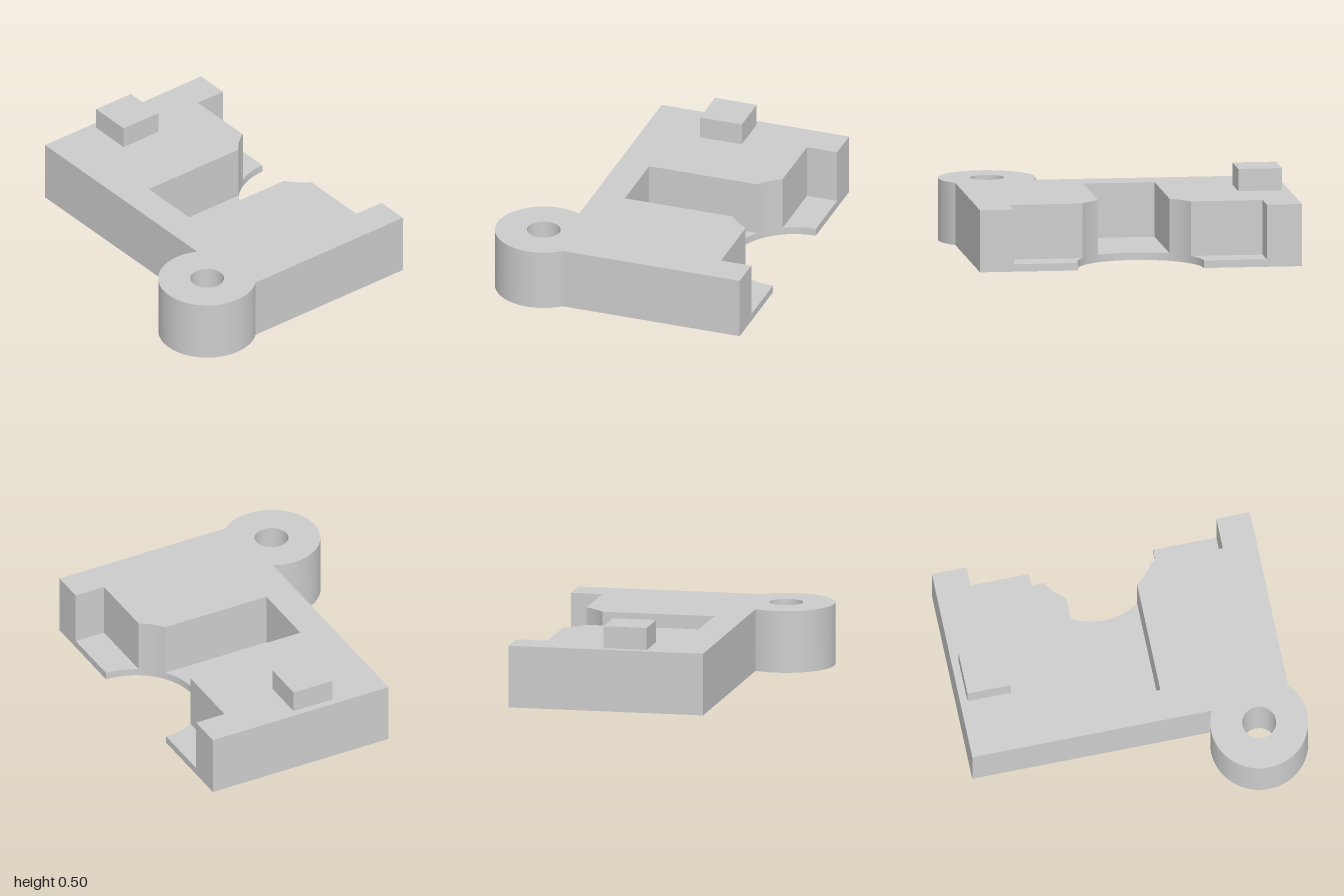
import * as THREE from 'three';
import { toCreasedNormals } from 'three/addons/utils/BufferGeometryUtils.js';

const HEIGHT = 0.372, FLOOR = 0.045;
const BOSS = { x: 0.71, z: 0.51, r: 0.29, hole: 0.1 };
const BORE = { x: -0.037, z: -0.8, r: 0.377 };
const RIGHT = 0.925, FRONT = 0.38, BACK = -0.8, POCKET = -0.61;

// Outer plan (x, z) shared by both layers, from back right round to back left
function outline() {
  const s = new THREE.Shape();
  const dx = RIGHT - BOSS.x, dz = FRONT - BOSS.z;
  const sideZ = BOSS.z - Math.sqrt(BOSS.r ** 2 - dx ** 2);
  const start = Math.atan2(sideZ - BOSS.z, dx);
  const end = Math.atan2(dz, -Math.sqrt(BOSS.r ** 2 - dz ** 2));
  s.moveTo(RIGHT, BACK);
  s.lineTo(RIGHT, sideZ);
  s.absarc(BOSS.x, BOSS.z, BOSS.r, start, end + Math.PI * 2, false);
  s.lineTo(-1, FRONT);
  s.lineTo(-1, BACK);
  const hole = new THREE.Path();
  hole.absarc(BOSS.x, BOSS.z, BOSS.hole, 0, Math.PI * 2, true);
  s.holes.push(hole);
  return s;
}

// Extrude a plan downward from the given top height
function layer(name, shape, top, depth, material) {
  let g = new THREE.ExtrudeGeometry(shape, { depth, bevelEnabled: false, curveSegments: 48 });
  g.rotateX(Math.PI / 2).translate(0, top, 0);
  g = toCreasedNormals(g, 0.5);
  const mesh = new THREE.Mesh(g, material);
  mesh.name = name;
  return mesh;
}

export function createModel() {
  const group = new THREE.Group();
  group.name = 'mountingBracket';
  const grey = new THREE.MeshStandardMaterial({ color: 0xcccccc });
  grey.name = 'plain grey';

  // Thin floor with a half-round notch in the back edge
  const floor = outline();
  floor.absarc(BORE.x, BORE.z, BORE.r, Math.PI, 0, true);
  group.add(layer('floorPlate', floor, FLOOR, FLOOR, grey));

  // Thick body with back pockets, notch and central slot cut out
  const body = outline();
  const slotL = -0.25, slotR = 0.178;
  const pocketAngle = Math.asin((POCKET - BORE.z) / BORE.r);
  body.lineTo(-0.79, BACK);
  body.lineTo(-0.79, POCKET);
  body.absarc(BORE.x, BORE.z, BORE.r, Math.PI - pocketAngle, Math.acos((slotL - BORE.x) / BORE.r), true);
  body.lineTo(slotL, 0.19);
  body.lineTo(slotR, 0.19);
  body.absarc(BORE.x, BORE.z, BORE.r, Math.acos((slotR - BORE.x) / BORE.r), pocketAngle, true);
  body.lineTo(0.722, POCKET);
  body.lineTo(0.722, BACK);
  group.add(layer('body', body, HEIGHT, HEIGHT - FLOOR, grey));

  // Raised locating block
  const block = new THREE.Mesh(new THREE.BoxGeometry(0.262, 0.133, 0.262), grey);
  block.position.set(-0.825, HEIGHT + 0.0665, -0.103);
  block.name = 'locatingBlock';
  group.add(block);

  return group;
}
